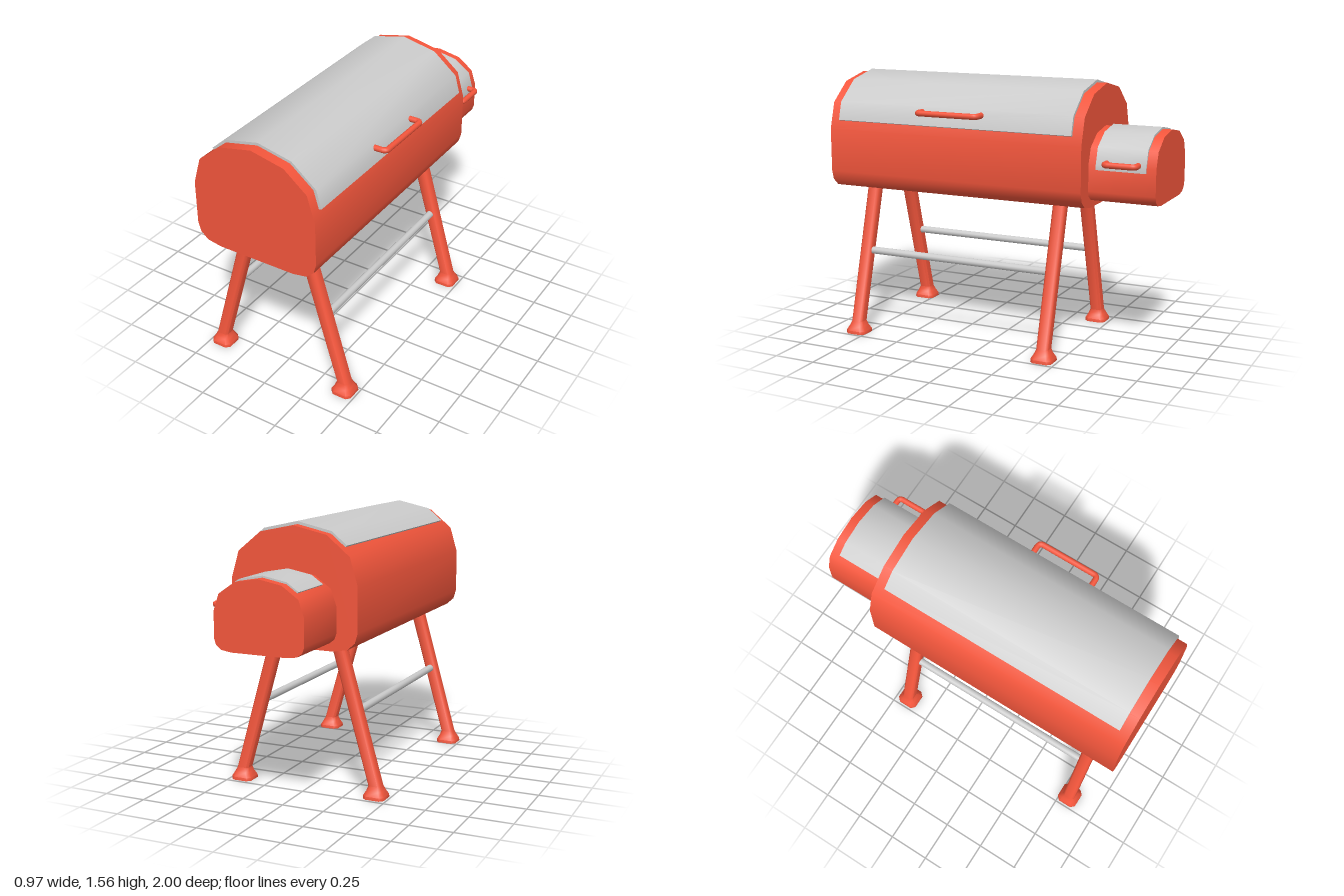
import * as THREE from 'three';
import { toCreasedNormals } from 'three/addons/utils/BufferGeometryUtils.js';

const red = new THREE.MeshStandardMaterial({ color: 0xf4563c });
const grey = new THREE.MeshStandardMaterial({ color: 0xcccccc });

// Right half of the barrel cross-section, bottom to top, about x = 0
const HALF = [[0.235, 0.865], [0.322, 0.88], [0.367, 0.92], [0.383, 0.975],
  [0.383, 1.23], [0.337, 1.385], [0.2, 1.497]];
const BARREL = [...HALF, [0, 1.54], ...HALF.map(([x, y]) => [-x, y]).reverse()];

function part(name, geometry, material, parent) {
  const mesh = new THREE.Mesh(geometry, material);
  mesh.name = name;
  parent.add(mesh);
  return mesh;
}

// Prism along z with smooth sides and sharp ends
function prism(points, z0, z1) {
  const shape = new THREE.Shape(points.map(([x, y]) => new THREE.Vector2(x, y)));
  const geo = new THREE.ExtrudeGeometry(shape, { depth: z1 - z0, bevelEnabled: false });
  geo.translate(0, 0, z0);
  return toCreasedNormals(geo, 0.85);
}

// Thin curved cover: outer line plus the same line drawn in towards a centre
function lid(outer, cx, cy, z0, z1) {
  const inner = outer.map(([x, y]) => [cx + (x - cx) * 0.94, cy + (y - cy) * 0.94]);
  return prism([...outer, ...inner.reverse()], z0, z1);
}

// U-shaped bar with rounded corners, lying in a horizontal plane
function handle(xIn, xOut, y, z0, z1, r) {
  const v = (x, z) => new THREE.Vector3(x, y, z);
  const b = 0.025;
  const path = new THREE.CurvePath();
  path.add(new THREE.LineCurve3(v(xIn, z0), v(xOut - b, z0)));
  path.add(new THREE.QuadraticBezierCurve3(v(xOut - b, z0), v(xOut, z0), v(xOut, z0 + b)));
  path.add(new THREE.LineCurve3(v(xOut, z0 + b), v(xOut, z1 - b)));
  path.add(new THREE.QuadraticBezierCurve3(v(xOut, z1 - b), v(xOut, z1), v(xOut - b, z1)));
  path.add(new THREE.LineCurve3(v(xOut - b, z1), v(xIn, z1)));
  return new THREE.TubeGeometry(path, 60, r, 10, false);
}

// Splayed leg with a flared foot, lofted through bevelled squares [x, y, half width]
function leg() {
  const sections = [[0.423, 0.018, 0.001], [0.423, 0, 0.064], [0.423, 0.018, 0.063],
    [0.423, 0.045, 0.047], [0.421, 0.072, 0.036], [0.176, 0.93, 0.037]];
  const pos = [], idx = [];
  for (const [x, y, h] of sections) {
    const c = h * 0.65;
    for (const [dx, dz] of [[h, -c], [h, c], [c, h], [-c, h], [-h, c], [-h, -c], [-c, -h], [c, -h]]) {
      pos.push(x + dx, y, dz);
    }
  }
  for (let s = 0; s < sections.length - 1; s++) {
    for (let i = 0; i < 8; i++) {
      const a = s * 8 + i, b = s * 8 + (i + 1) % 8;
      idx.push(a, a + 8, b, b, a + 8, b + 8);
    }
  }
  const geo = new THREE.BufferGeometry();
  geo.setAttribute('position', new THREE.Float32BufferAttribute(pos, 3));
  geo.setIndex(idx);
  return toCreasedNormals(geo, 0.85);
}

export function createModel() {
  const model = new THREE.Group();
  model.name = 'smokerGrill';

  // Main barrel, its lid and handle
  part('barrel', prism(BARREL.map(([x, y]) => [x - 0.007, y]), -0.61, 1), red, model);
  part('barrelLid', lid([[0.376, 1.285], [0.347, 1.39], [0.2, 1.511], [-0.006, 1.556],
    [-0.211, 1.511], [-0.3, 1.437]], 0, 1.15, -0.55, 0.94), grey, model);
  part('barrelHandle', handle(0.335, 0.422, 1.362, 0.005, 0.383, 0.017), red, model);

  // Smaller firebox behind the barrel
  const box = BARREL.map(([x, y]) => [x * 0.692, 0.9 + (y - 0.865) * 0.593]);
  part('firebox', prism(box, -1, -0.6), red, model);
  part('fireboxLid', lid([[0.272, 1.09], [0.272, 1.118], [0.243, 1.215], [0.14, 1.285],
    [0, 1.311], [-0.14, 1.285], [-0.208, 1.238]], 0, 1.06, -0.945, -0.655), grey, model);
  part('fireboxHandle', handle(0.25, 0.32, 1.13, -0.898, -0.717, 0.017), red, model);

  // Four splayed legs, turned half round for the other side
  const legGeo = leg();
  for (const z of [0.807, -0.417]) {
    for (const side of [1, -1]) {
      const mesh = part((z > 0 ? 'front' : 'back') + (side > 0 ? 'LeftLeg' : 'RightLeg'), legGeo, red, model);
      mesh.position.z = z;
      if (side < 0) mesh.rotation.y = Math.PI;
    }
  }

  // Rails joining the front and back legs
  const railGeo = new THREE.CylinderGeometry(0.022, 0.022, 1.2, 12).rotateX(Math.PI / 2);
  for (const side of [1, -1]) {
    part(side > 0 ? 'leftRail' : 'rightRail', railGeo, grey, model).position.set(side * 0.302, 0.488, 0.195);
  }
  return model;
}
